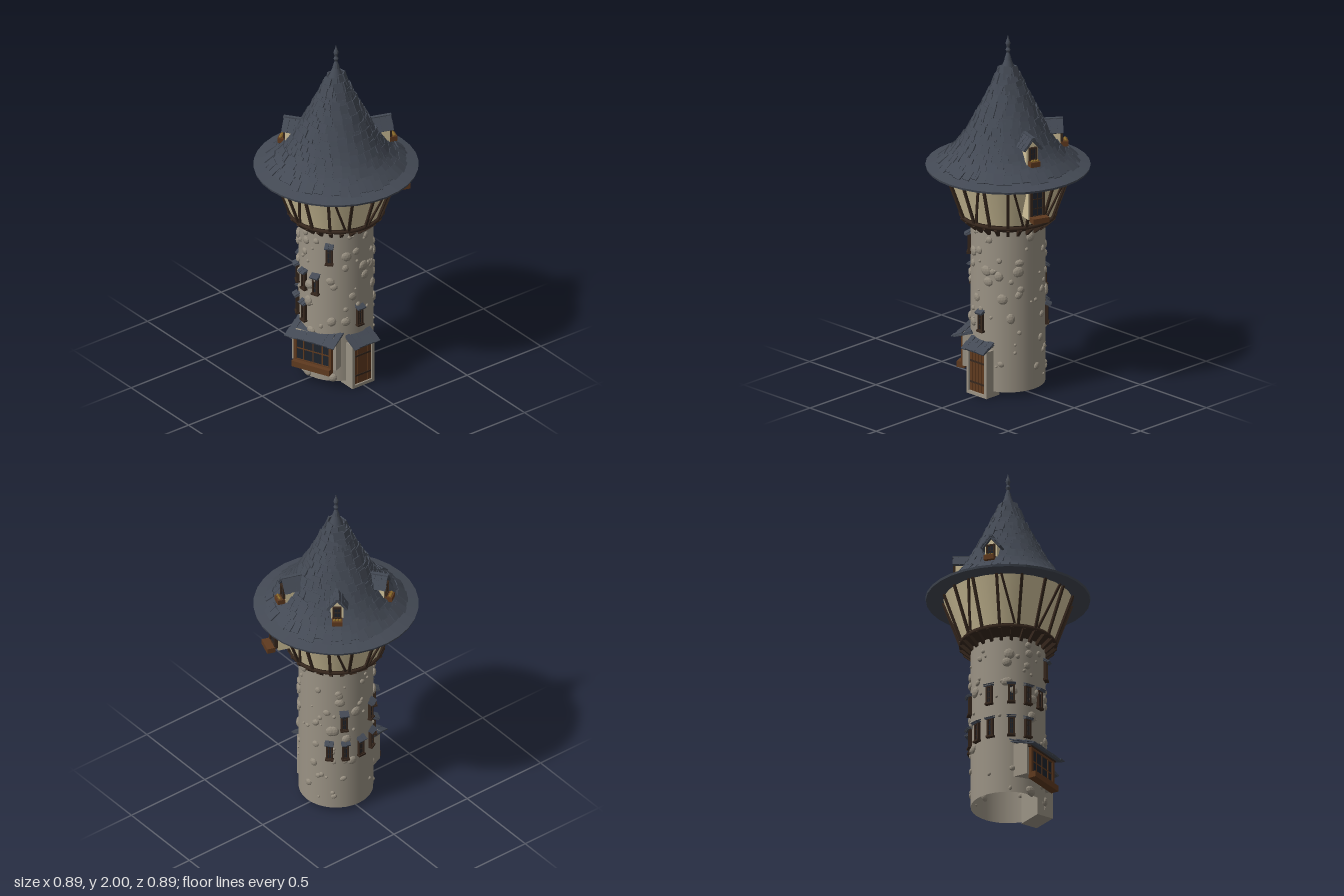
import * as THREE from 'three';
import { mergeGeometries } from 'three/addons/utils/BufferGeometryUtils.js';

const mat = (color, extra = {}) => new THREE.MeshStandardMaterial({ color, ...extra });
const M = {
  stone: mat(0x9a9284, { side: THREE.DoubleSide }),
  pebble: mat(0x948c7e, { flatShading: true }),
  plaster: mat(0xd3c49c, { side: THREE.DoubleSide }),
  timber: mat(0x36271d),
  wood: mat(0x5f3a1f),
  slate: mat(0x434954, { flatShading: true, side: THREE.DoubleSide }),
  glass: mat(0x1d232c),
  leaf: mat(0x8a6a2a, { flatShading: true }),
};

let seed = 7;
const rnd = (a = 0, b = 1) => {
  seed = (seed * 16807) % 2147483647;
  return a + (b - a) * (seed / 2147483647);
};
const rad = THREE.MathUtils.degToRad;

function mesh(name, geo, material, parent) {
  const m = new THREE.Mesh(geo, material);
  m.name = name;
  parent.add(m);
  return m;
}
function box(parent, name, material, w, h, d, x, y, z) {
  const m = mesh(name, new THREE.BoxGeometry(w, h, d), material, parent);
  m.position.set(x, y, z);
  return m;
}
// Group turned to a compass angle; its local +z points out of the tower
function facing(parent, name, deg) {
  const g = new THREE.Group();
  g.name = name;
  g.rotation.y = rad(deg);
  parent.add(g);
  return g;
}
function beamGeo(a, b, w, d) {
  const mid = a.clone().add(b).multiplyScalar(0.5);
  const y = b.clone().sub(a).normalize();
  const out = new THREE.Vector3(mid.x, 0, mid.z).normalize();
  const x = y.clone().cross(out).normalize();
  const m = new THREE.Matrix4().makeBasis(x, y, x.clone().cross(y)).setPosition(mid);
  return new THREE.BoxGeometry(w, a.distanceTo(b), d).applyMatrix4(m);
}
const polar = (deg, r, y) => new THREE.Vector3(r * Math.sin(rad(deg)), y, r * Math.cos(rad(deg)));

// Small sloping roof: x across, y up the slope from the eave, z is the normal
function tiledSlab(parent, w, l, cols, rows, eaveY, eaveZ, pitch) {
  const geos = [new THREE.BoxGeometry(w * 0.97, l, 0.006).translate(0, l / 2, 0)];
  for (let r = 0; r < rows; r++) for (let c = 0; c < cols; c++) {
    const h = (l / rows) * rnd(1.05, 1.35);
    geos.push(new THREE.BoxGeometry((w / cols) * rnd(0.85, 1.1), h, 0.006)
      .rotateX(0.1).rotateZ(rnd(-0.07, 0.07))
      .translate(((c + 0.5) / cols - 0.5) * w, r * (l / rows) + h * rnd(0.36, 0.5), 0.007 + rnd(0, 0.003)));
  }
  const m = mesh('smallRoof', mergeGeometries(geos), M.slate, parent);
  m.position.set(0, eaveY, eaveZ);
  m.rotation.x = -(Math.PI / 2 - rad(pitch));
  return m;
}
// Framed window centred at (0, y, z), with glazing bars
function framedWindow(parent, frameMat, w, h, y, z, t, cols, rows) {
  box(parent, 'glass', M.glass, w - t, h - t, 0.01, 0, y, z);
  for (const s of [-1, 1]) {
    box(parent, 'frameSide', frameMat, t, h, 0.024, s * (w - t) / 2, y, z);
    box(parent, 'frameRail', frameMat, w, t, 0.022, 0, y + s * (h - t) / 2, z);
  }
  for (let i = 1; i < cols; i++) box(parent, 'bar', frameMat, t * 0.4, h, 0.014, (i / cols - 0.5) * w, y, z);
  for (let i = 1; i < rows; i++) box(parent, 'bar', frameMat, w, t * 0.4, 0.014, 0, y + (i / rows - 0.5) * h, z);
}

function buildTower(root) {
  mesh('towerWall', new THREE.CylinderGeometry(0.2, 0.2, 0.94, 32, 1, true).translate(0, 0.5, 0), M.stone, root);
  // Rounded stones showing through the wall
  const geos = [];
  for (let i = 0; i < 115; i++) {
    const s = 0.007 + 0.026 * rnd() ** 1.8;
    geos.push(new THREE.IcosahedronGeometry(1, 1).scale(s * rnd(0.8, 1.2), s * rnd(0.8, 1.1), 0.006 + s * 0.3)
      .rotateZ(rnd(0, 3)).translate(0, rnd(0.05, 0.92), 0.2).rotateY(rnd(0, Math.PI * 2)));
  }
  mesh('wallStones', mergeGeometries(geos), M.pebble, root);

  const slits = [[-64, 0.61], [-30, 0.61], [-4, 0.61], [20, 0.61], [-116, 0.61], [-4, 0.415], [-30, 0.415],
    [-62, 0.415], [-88, 0.415], [-114, 0.415], [-138, 0.415], [90, 0.415], [42, 0.81]];
  for (const [deg, y] of slits) {
    const g = facing(root, 'slitWindow', deg);
    framedWindow(g, M.timber, 0.036, 0.105, y, 0.203, 0.009, 2, 3);
    box(g, 'sill', M.timber, 0.044, 0.01, 0.026, 0, y - 0.053, 0.208);
    tiledSlab(g, 0.05, 0.03, 2, 1, y + 0.047, 0.227, 22);
  }
}

function buildUpperStorey(root) {
  const lo = [0.255, 1.0], hi = [0.347, 1.255];
  const wall = [[0.2, 0.945], [0.25, 0.985], lo, hi].map(p => new THREE.Vector2(...p));
  mesh('flaredWall', new THREE.LatheGeometry(wall.slice(2), 32), M.plaster, root);
  mesh('wallUnderside', new THREE.LatheGeometry(wall.slice(0, 3), 32), M.timber, root);
  mesh('ringBeam', new THREE.TorusGeometry(0.254, 0.011, 6, 32).rotateX(Math.PI / 2).translate(0, 0.985, 0), M.timber, root);
  const geos = [];
  const at = (deg, t) => polar(deg, lo[0] + (hi[0] - lo[0]) * t + 0.003, lo[1] + (hi[1] - lo[1]) * t);
  for (let i = 0; i < 16; i++) {
    const a = i * 22.5;
    geos.push(beamGeo(at(a, -0.03), at(a, 1), 0.015, 0.016));
    // Slanted braces in every other bay
    if (i % 2 === 0) {
      const flip = i % 4 === 0;
      geos.push(beamGeo(at(a + (flip ? 4 : 18), 0), at(a + (flip ? 18 : 4), 1), 0.012, 0.014));
    }
  }
  for (let i = 0; i < 24; i++) geos.push(beamGeo(polar(i * 15, 0.198, 0.93), polar(i * 15, 0.256, 0.98), 0.016, 0.022));
  mesh('timberFrame', mergeGeometries(geos), M.timber, root);

  // Projecting window at the back
  const g = facing(root, 'orielWindow', 161);
  box(g, 'orielWall', M.plaster, 0.1, 0.19, 0.12, 0, 1.16, 0.285);
  framedWindow(g, M.timber, 0.085, 0.16, 1.155, 0.352, 0.014, 2, 3);
  box(g, 'flowerBox', M.wood, 0.095, 0.03, 0.045, 0, 1.072, 0.383);
}

function buildRoof(root) {
  const profile = [[0, 1.252], [0.44, 1.25], [0.443, 1.262], [0.37, 1.283], [0.3, 1.338], [0.235, 1.42], [0.18, 1.515],
    [0.135, 1.6], [0.09, 1.69], [0.045, 1.79], [0.012, 1.875]];
  mesh('roofCone', new THREE.LatheGeometry(profile.map(p => new THREE.Vector2(...p)), 32), M.slate, root);

  // Irregular slates laid in rings up the slope
  const line = new THREE.CatmullRomCurve3(profile.slice(3).map(p => new THREE.Vector3(0, p[1], p[0])));
  const geos = [], rows = 17;
  for (let i = 0; i < rows; i++) {
    const base = 0.035 + 0.88 * (i / rows);
    const n = Math.max(8, Math.round(line.getPointAt(base).z * Math.PI * 2 / 0.046));
    for (let j = 0; j < n; j++) {
      const u = Math.max(0.015, base + rnd(-0.02, 0.02));
      const p = line.getPointAt(u), up = line.getTangentAt(u);
      const normal = new THREE.Vector3(1, 0, 0).cross(up);
      const m = new THREE.Matrix4().makeBasis(new THREE.Vector3(1, 0, 0), up, normal)
        .setPosition(p.addScaledVector(normal, rnd(0.005, 0.011)));
      const w = p.z * Math.PI * 2 / n;
      geos.push(new THREE.BoxGeometry(w * rnd(0.8, 1.15), rnd(0.05, 0.075), 0.007)
        .rotateX(rnd(0.05, 0.14)).rotateZ(rnd(-0.13, 0.13)).applyMatrix4(m)
        .rotateY((j + (i % 2) / 2 + rnd(-0.12, 0.12)) / n * Math.PI * 2));
    }
  }
  mesh('roofSlates', mergeGeometries(geos), M.slate, root);

  const spike = [[0.02, 1.86], [0.013, 1.885], [0.007, 1.9], [0.014, 1.915], [0.007, 1.93], [0.013, 1.95], [0.012, 1.96],
    [0.005, 1.98], [0, 2]].map(p => new THREE.Vector2(...p));
  mesh('finial', new THREE.LatheGeometry(spike, 10), M.slate, root);
  [[161, 0.02], [-127, 0.005], [-54, 0]].forEach(([deg, dr]) => buildDormer(root, deg, dr));
}

function buildDormer(root, deg, dr) {
  const g = facing(root, 'dormer', deg);
  const shape = new THREE.Shape([[-0.034, 1.355], [0.034, 1.355], [0.034, 1.45], [0, 1.49], [-0.034, 1.45]]
    .map(p => new THREE.Vector2(...p)));
  mesh('dormerWall', new THREE.ExtrudeGeometry(shape, { depth: 0.14, bevelEnabled: false }).translate(0, 0, 0.135 + dr), M.plaster, g);
  framedWindow(g, M.timber, 0.048, 0.075, 1.42, 0.277 + dr, 0.009, 2, 2);
  box(g, 'flowerBox', M.wood, 0.056, 0.028, 0.042, 0, 1.37, 0.298 + dr);
  for (let i = 0; i < 3; i++) {
    mesh('plant', new THREE.IcosahedronGeometry(0.009, 0), M.leaf, g).position.set(-0.016 + i * 0.016, 1.388, 0.305 + dr);
  }
  // Two slopes meeting at the ridge
  for (const s of [-1, 1]) {
    const side = facing(g, 'dormerSlope', s * 90);
    side.position.z = 0.222 + dr;
    tiledSlab(side, 0.135, 0.078, 4, 3, 1.44, 0.05, 50);
  }
  box(g, 'ridge', M.slate, 0.018, 0.012, 0.14, 0, 1.508, 0.222 + dr);
}

function buildBayWindow(root) {
  const g = facing(root, 'bayWindow', 23);
  g.position.set(-0.015, 0, 0.005);
  box(g, 'bayWall', M.stone, 0.27, 0.19, 0.14, 0, 0.215, 0.145);
  framedWindow(g, M.wood, 0.23, 0.165, 0.205, 0.22, 0.018, 4, 2);
  box(g, 'bayLintel', M.timber, 0.25, 0.018, 0.03, 0, 0.29, 0.222);
  box(g, 'flowerBox', M.wood, 0.23, 0.034, 0.045, 0, 0.117, 0.235);
  tiledSlab(g, 0.3, 0.17, 8, 3, 0.283, 0.265, 17);
}

function buildDoorway(root) {
  const g = facing(root, 'doorway', 90);
  box(g, 'porchWall', M.stone, 0.15, 0.265, 0.085, 0, 0.1325, 0.1825);
  for (const s of [-1, 1]) box(g, 'doorJamb', M.stone, 0.017, 0.265, 0.015, s * 0.0665, 0.1325, 0.2325);
  box(g, 'doorLintel', M.stone, 0.15, 0.022, 0.015, 0, 0.254, 0.2325);
  box(g, 'doorstep', M.stone, 0.15, 0.018, 0.015, 0, 0.009, 0.2325);
  for (let i = 0; i < 5; i++) box(g, 'doorPlank', M.wood, 0.0215, 0.222, 0.008, (i - 2) * 0.0225, 0.13, 0.229);
  for (const y of [0.07, 0.19]) box(g, 'doorStrap', M.timber, 0.105, 0.01, 0.004, 0, y, 0.234);
  tiledSlab(g, 0.17, 0.09, 5, 2, 0.258, 0.268, 27);
}

export function createModel() {
  const root = new THREE.Group();
  root.name = 'tower';
  [buildTower, buildUpperStorey, buildRoof, buildBayWindow, buildDoorway].forEach(build => build(root));
  return root;
}
